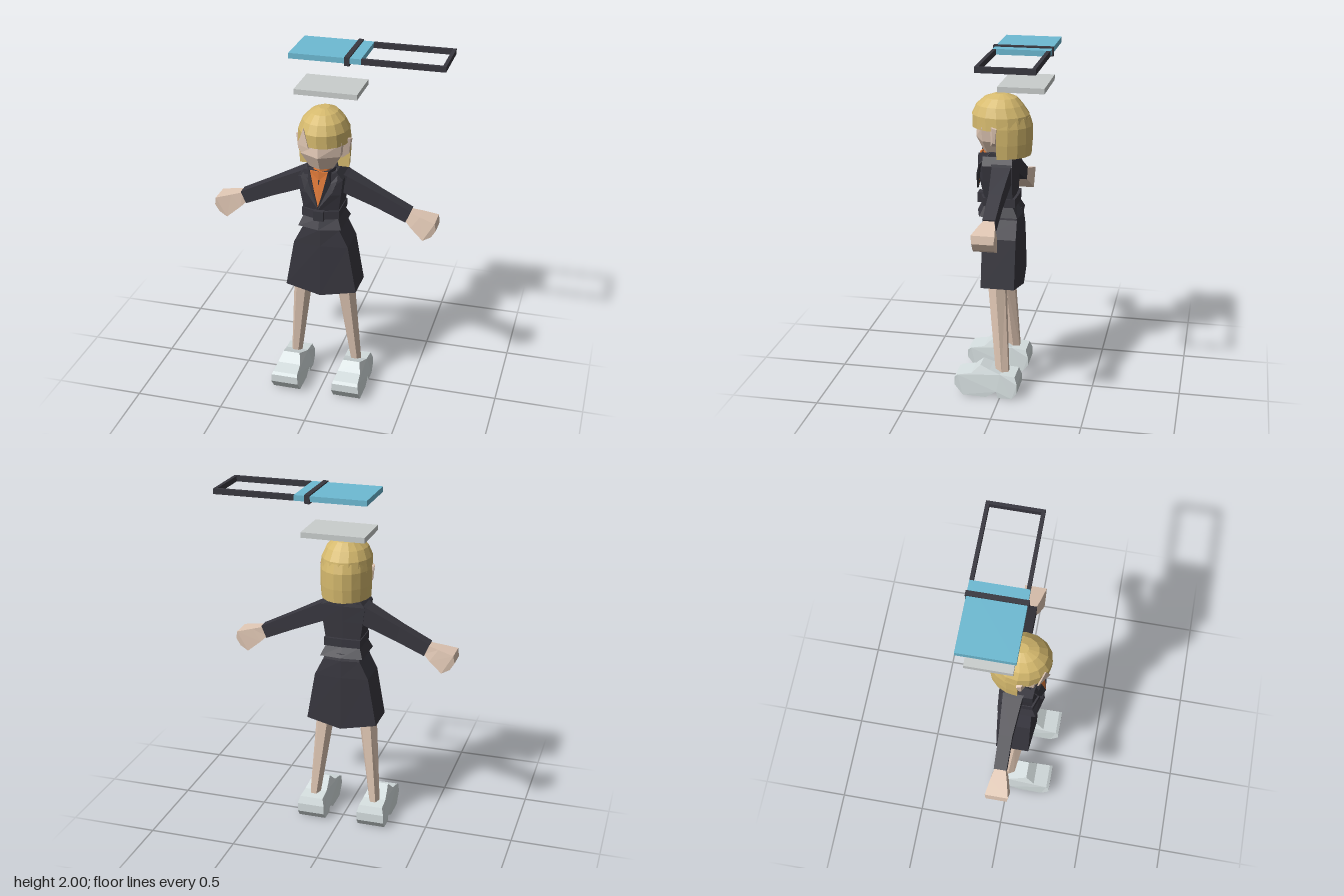
import * as THREE from 'three';

const mat = (name, color) => Object.assign(new THREE.MeshStandardMaterial({ color }), { name });

// Closed, faceted solid through a list of equal-length rings of [x, y, z] points.
function loft(rings) {
  const tris = [];
  const n = rings[0].length;
  const centre = (r) => [0, 1, 2].map((k) => r.reduce((s, p) => s + p[k], 0) / n);
  const first = rings[0], last = rings[rings.length - 1];
  const c0 = centre(first), c1 = centre(last);
  for (let i = 0; i < n; i++) {
    const j = (i + 1) % n;
    for (let k = 0; k + 1 < rings.length; k++) {
      const a = rings[k], b = rings[k + 1];
      tris.push([a[i], a[j], b[j]], [a[i], b[j], b[i]]);
    }
    tris.push([c0, first[j], first[i]], [c1, last[i], last[j]]);
  }
  // Signed volume tells whether the faces point inwards
  const ref = new THREE.Vector3(...c0);
  let volume = 0;
  for (const t of tris) {
    const [a, b, c] = t.map((p) => new THREE.Vector3(...p).sub(ref));
    volume += a.dot(b.cross(c));
  }
  if (volume < 0) tris.forEach((t) => t.reverse());
  const g = new THREE.BufferGeometry();
  g.setAttribute('position', new THREE.Float32BufferAttribute(tris.flat(2), 3));
  g.computeVertexNormals();
  return g;
}

// Six-cornered body section: side corners plus a front and a back ridge
const body = (y, x, zf, zfMid, zb, zbMid, yMid = y) => [
  [x, y, zf], [0, yMid, zfMid], [-x, y, zf], [-x, y, zb], [0, yMid, zbMid], [x, y, zb],
];

// Elliptical section, optionally only part of the turn (angle 0 = +x, 90 deg = +z)
function oval(y, cx, cz, rx, rz, n, start = 0, sweep = Math.PI * 2) {
  const steps = sweep < 6 ? n - 1 : n;
  return Array.from({ length: n }, (_, i) => {
    const a = start + (sweep * i) / steps;
    return [cx + rx * Math.cos(a), y, cz + rz * Math.sin(a)];
  });
}

// Thin plate from an outline
const plate = (pts, t = 0.008) => loft([pts, pts.map(([x, y, z]) => [x, y, z - t])]);

export function createModel() {
  const model = new THREE.Group();
  const figure = new THREE.Group();
  figure.name = 'figure';
  figure.position.x = -0.01;
  model.add(figure);

  const skin = mat('skin', 0xe0c7b4);
  const hair = mat('blonde hair', 0xd6ba6e);
  const dark = mat('dark cloth', 0x38373f);
  const orange = mat('orange shirt', 0xe27c3a);
  const shoeGrey = mat('pale shoe', 0xd6dfe0);
  const plateGrey = mat('grey tablet', 0xcacecd);
  const blue = mat('blue panel', 0x6dbad3);

  const add = (name, geo, material, parent = figure) => {
    const m = new THREE.Mesh(geo, material);
    m.name = name;
    parent.add(m);
    return m;
  };
  const box = (name, x0, x1, y0, y1, z0, z1, material, parent = model) => {
    const m = add(name, new THREE.BoxGeometry(x1 - x0, y1 - y0, z1 - z0), material, parent);
    m.position.set((x0 + x1) / 2, (y0 + y1) / 2, (z0 + z1) / 2);
  };

  // Jacket, belt, peplum and skirt
  add('jacket', loft([
    body(1.375, 0.09, 0.125, 0.145, -0.04, -0.05),
    body(1.33, 0.125, 0.12, 0.158, -0.045, -0.052),
    body(1.24, 0.115, 0.12, 0.165, -0.045, -0.05),
    body(1.14, 0.1, 0.11, 0.143, -0.043, -0.048),
    body(1.08, 0.1, 0.11, 0.143, -0.043, -0.048),
  ]), dark);
  add('belt', loft([
    body(1.142, 0.105, 0.12, 0.157, -0.058, -0.064),
    body(1.095, 0.105, 0.12, 0.157, -0.058, -0.064),
  ]), dark);
  add('peplum', loft([
    body(1.095, 0.098, 0.115, 0.145, -0.045, -0.052),
    body(1.037, 0.122, 0.14, 0.172, -0.075, -0.087),
  ]), dark);
  add('skirt', loft([
    body(1.06, 0.095, 0.11, 0.128, -0.06, -0.075),
    body(1.02, 0.105, 0.115, 0.133, -0.07, -0.085),
    body(0.92, 0.155, 0.117, 0.134, -0.072, -0.09),
    body(0.645, 0.203, 0.117, 0.135, -0.072, -0.092, 0.608),
  ]), dark);
  box('beltBuckle', -0.028, 0.028, 1.09, 1.147, 0.13, 0.167, dark, figure);

  // Shirt front and collar
  add('shirtFront', plate([
    [-0.055, 1.38, 0.148], [0, 1.38, 0.157], [0.055, 1.38, 0.148], [0, 1.18, 0.174],
  ]), orange);
  add('shirtCollar', loft([
    oval(1.33, 0, 0.06, 0.058, 0.085, 8), oval(1.39, 0, 0.06, 0.055, 0.075, 8),
  ]), orange);

  // Head
  add('head', loft([
    body(1.62, 0.1, 0.12, 0.15, -0.04, -0.06),
    body(1.54, 0.118, 0.125, 0.172, -0.04, -0.06),
    body(1.465, 0.111, 0.12, 0.178, -0.04, -0.06),
    body(1.385, 0.066, 0.1, 0.135, -0.03, -0.04),
  ]), skin);

  // Hair cap with fringe, and the bob behind the ears
  const cap = [
    [1.712, 0.028, 0.075, 0.0], [1.692, 0.075, 0.13, -0.05], [1.652, 0.115, 0.175, -0.085],
    [1.6, 0.138, 0.2, -0.12], [1.53, 0.143, 0.198, -0.13],
  ];
  add('hairCap', loft(cap.map(([y, rx, zf, zb]) =>
    oval(y, 0, (zf + zb) / 2, rx, (zf - zb) / 2, 16))), hair);
  const bob = [[1.59, 0.135, 0.16], [1.54, 0.143, 0.175], [1.45, 0.143, 0.174], [1.375, 0.138, 0.168]];
  add('hairBob', loft(bob.map(([y, rx, rz]) =>
    oval(y, 0, 0.038, rx, rz, 10, Math.PI, Math.PI))), hair);
  add('foreheadGap', plate([
    [-0.077, 1.632, 0.178], [-0.118, 1.527, 0.147], [-0.045, 1.527, 0.198],
  ]), skin);

  for (const s of [1, -1]) {
    const side = s > 0 ? 'left' : 'right';
    const flip = (ring) => ring.map(([x, y, z]) => [s * x, y, z]);
    const pair = (name, rings, material) => add(side + name, loft(rings.map(flip)), material);
    // Rectangular limb section from a top and a bottom point and a z range
    const slab = (xt, yt, xb, yb, z0, z1) => [[xt, yt, z0], [xt, yt, z1], [xb, yb, z1], [xb, yb, z0]];

    pair('Sleeve', [
      slab(0.08, 1.362, 0.07, 1.23, -0.045, 0.085),
      slab(0.135, 1.33, 0.11, 1.232, -0.04, 0.065),
      slab(0.32, 1.236, 0.3, 1.152, -0.028, 0.045),
      slab(0.487, 1.152, 0.458, 1.083, -0.026, 0.043),
    ], dark);
    pair('Hand', [
      slab(0.478, 1.146, 0.455, 1.092, -0.02, 0.037),
      slab(0.54, 1.132, 0.49, 1.06, -0.035, 0.055),
      slab(0.626, 1.112, 0.562, 1.002, -0.05, 0.076),
      slab(0.633, 1.068, 0.608, 1.027, -0.045, 0.07),
    ], skin);
    pair('Ear', [
      [[0.105, 1.555, 0.085], [0.105, 1.44, 0.075], [0.105, 1.44, 0.045], [0.105, 1.555, 0.035]],
      [[0.152, 1.552, 0.06], [0.142, 1.465, 0.06], [0.142, 1.465, 0.045], [0.155, 1.545, 0.035]],
    ], skin);
    pair('Leg', [
      oval(0.85, 0.105, 0.05, 0.06, 0.06, 6),
      oval(0.63, 0.127, 0.035, 0.053, 0.055, 6),
      oval(0.12, 0.182, -0.004, 0.031, 0.042, 6),
    ], skin);
    add(side + 'Lapel', plate([
      [0.052, 1.385, 0.156], [0.085, 1.398, 0.085], [0.102, 1.335, 0.145],
      [0.078, 1.27, 0.162], [0.0, 1.165, 0.176],
    ].map(([x, y, z]) => [s * x, y, z])), dark);
    pair('CollarBack', [
      [[0.085, 1.398, 0.09], [0.09, 1.36, 0.1], [0.075, 1.36, 0.1], [0.07, 1.398, 0.09]],
      [[0.06, 1.395, -0.03], [0.068, 1.36, -0.035], [0, 1.36, -0.035], [0, 1.395, -0.03]],
    ], dark);

    // Shoe: side profile extruded across, narrowing towards the instep
    const profile = [
      [0.262, 0.11], [0.262, 0.065], [0.215, 0.004], [0.08, 0], [0.02, 0.038], [0.01, 0],
      [-0.07, 0], [-0.1, 0.04], [-0.1, 0.09], [-0.085, 0.132], [0.0, 0.14],
      [0.06, 0.162], [0.115, 0.185], [0.165, 0.138], [0.245, 0.122],
    ];
    const shoe = new THREE.ExtrudeGeometry(
      new THREE.Shape(profile.map((p) => new THREE.Vector2(...p))),
      { depth: 0.16, bevelEnabled: false });
    shoe.translate(0, 0, -0.08).rotateY(-Math.PI / 2);
    const pos = shoe.attributes.position;
    for (let i = 0; i < pos.count; i++) {
      const over = Math.max(0, pos.getY(i) - 0.1);
      pos.setX(i, pos.getX(i) * (1 - over * 4.5));
    }
    shoe.computeVertexNormals();
    add(side + 'Shoe', shoe, shoeGrey).position.x = s * 0.18;
  }

  // Grey tablet floating above the head, in two layers
  box('tabletBase', -0.185, 0.165, 1.757, 1.773, -0.228, 0.025, plateGrey);
  box('tabletLid', -0.185, 0.165, 1.773, 1.787, -0.228, 0.025, plateGrey);

  // Blue panel with strap and open side frame
  box('bluePanel', -0.205, 0.188, 1.963, 1.993, -0.26, 0.045, blue);
  box('strap', 0.1, 0.128, 1.952, 2.0, -0.266, 0.053, dark);
  box('frameBack', 0.188, 0.635, 1.963, 1.993, -0.26, -0.24, dark);
  box('frameFront', 0.188, 0.635, 1.963, 1.993, 0.025, 0.045, dark);
  box('frameEnd', 0.616, 0.635, 1.963, 1.993, -0.24, 0.025, dark);

  return model;
}
